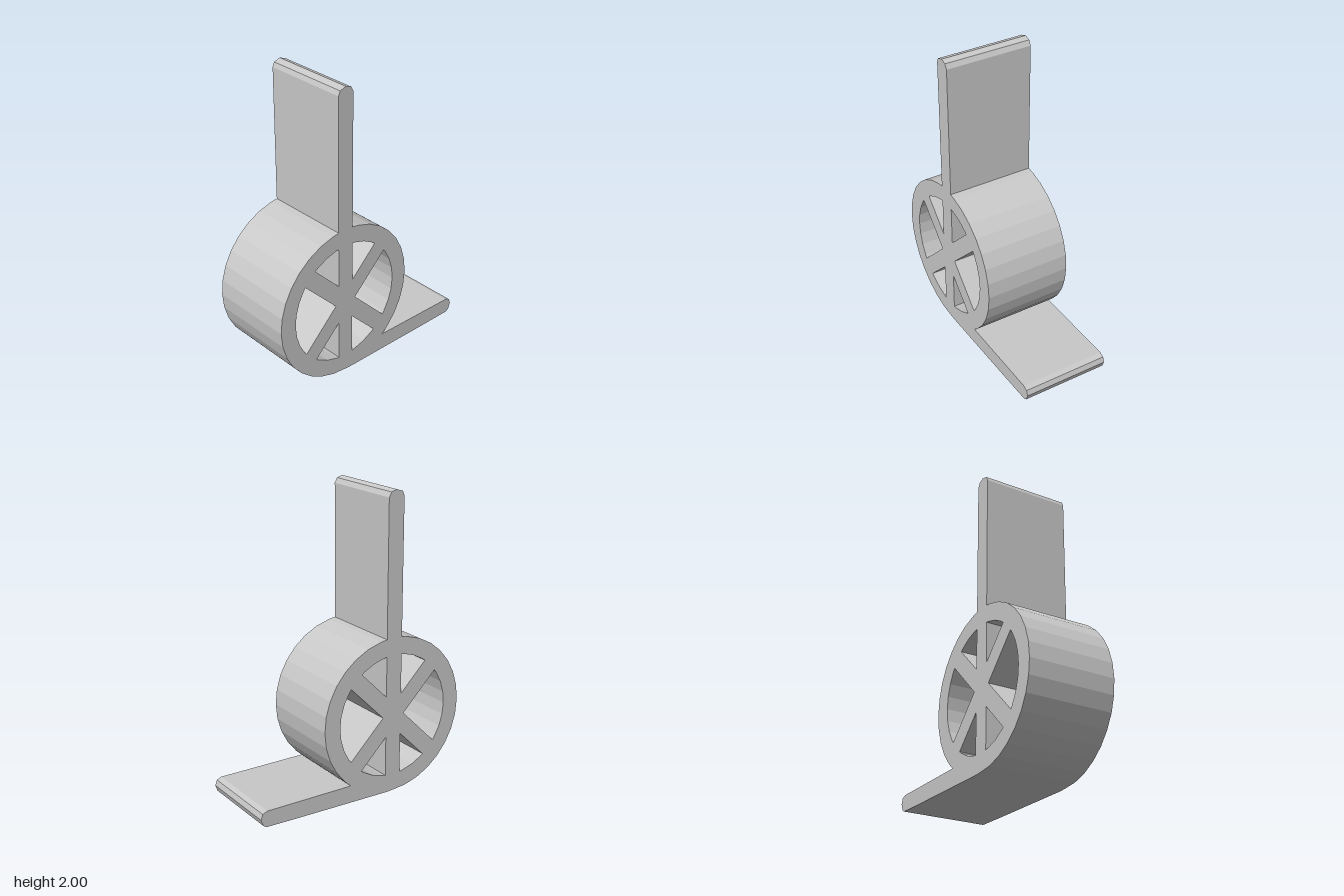
import * as THREE from 'three';

const CX = -0.235, CY = 0.53;        // wheel centre
const R_OUT = 0.527, R_IN = 0.412;   // rim radii
const HALF = 0.0575;                 // half thickness of spokes, post and foot
const DEPTH = 0.59;
const STEP = Math.PI / 16;           // 32-sided rim

const polar = (r, a) => new THREE.Vector2(CX + r * Math.cos(a), CY + r * Math.sin(a));

// Points on a circle from angle a to b, stopping at the rim's regular facets
function facetedArc(r, a, b) {
  const dir = Math.sign(b - a), pts = [polar(r, a)];
  const lo = Math.min(a, b) + 0.02, hi = Math.max(a, b) - 0.02;
  const mid = [];
  for (let k = Math.ceil(lo / STEP); k * STEP <= hi; k++) mid.push(polar(r, k * STEP));
  if (dir < 0) mid.reverse();
  return pts.concat(mid, [polar(r, b)]);
}

// Opening between two neighbouring spokes centred on angles a and b
function opening(a, b) {
  const inset = Math.asin(HALF / R_IN);
  const apex = polar(HALF / Math.sin((b - a) / 2), (a + b) / 2);
  return new THREE.Path([apex, ...facetedArc(R_IN, a + inset, b - inset)]);
}

export function createModel() {
  const group = new THREE.Group();
  const grey = new THREE.MeshStandardMaterial({ color: 0xc8c8c8 });
  grey.name = 'light grey';

  const v = (x, y) => new THREE.Vector2(x, y);
  const postAngle = Math.asin(HALF / R_OUT);
  const footAngle = -Math.asin((CY - 0.12) / R_OUT);

  // Outline, clockwise: post with rounded tip, right rim, foot with rounded tip, left rim
  const post = [
    v(CX - HALF, 1.955), v(CX - 0.045, 1.985), v(CX, 2),
    v(CX + 0.04, 1.987), v(CX + HALF, 1.955),
  ];
  const rightRim = facetedArc(R_OUT, Math.PI / 2 - postAngle, footAngle);
  const foot = [
    v(0.715, 0.117), v(0.747, 0.103), v(0.76, 0.067),
    v(0.745, 0.025), v(0.722, 0.01), v(0.49, 0.006), v(-0.19, 0),
  ];
  const leftRim = facetedArc(R_OUT, -Math.PI / 2, -Math.PI * 1.5 + postAngle);
  const shape = new THREE.Shape([...post, ...rightRim, ...foot, ...leftRim]);

  // Six openings leave one vertical and two diagonal spokes
  const spokes = [-45, 45, 90, 135, 225, 270, 315].map(THREE.MathUtils.degToRad);
  for (let i = 0; i < 6; i++) shape.holes.push(opening(spokes[i], spokes[i + 1]));

  const geometry = new THREE.ExtrudeGeometry(shape, { depth: DEPTH, bevelEnabled: false });
  geometry.translate(0, 0, -DEPTH / 2);
  const body = new THREE.Mesh(geometry, grey);
  body.name = 'spokedWheelWithPostAndFoot';
  group.add(body);
  return group;
}
